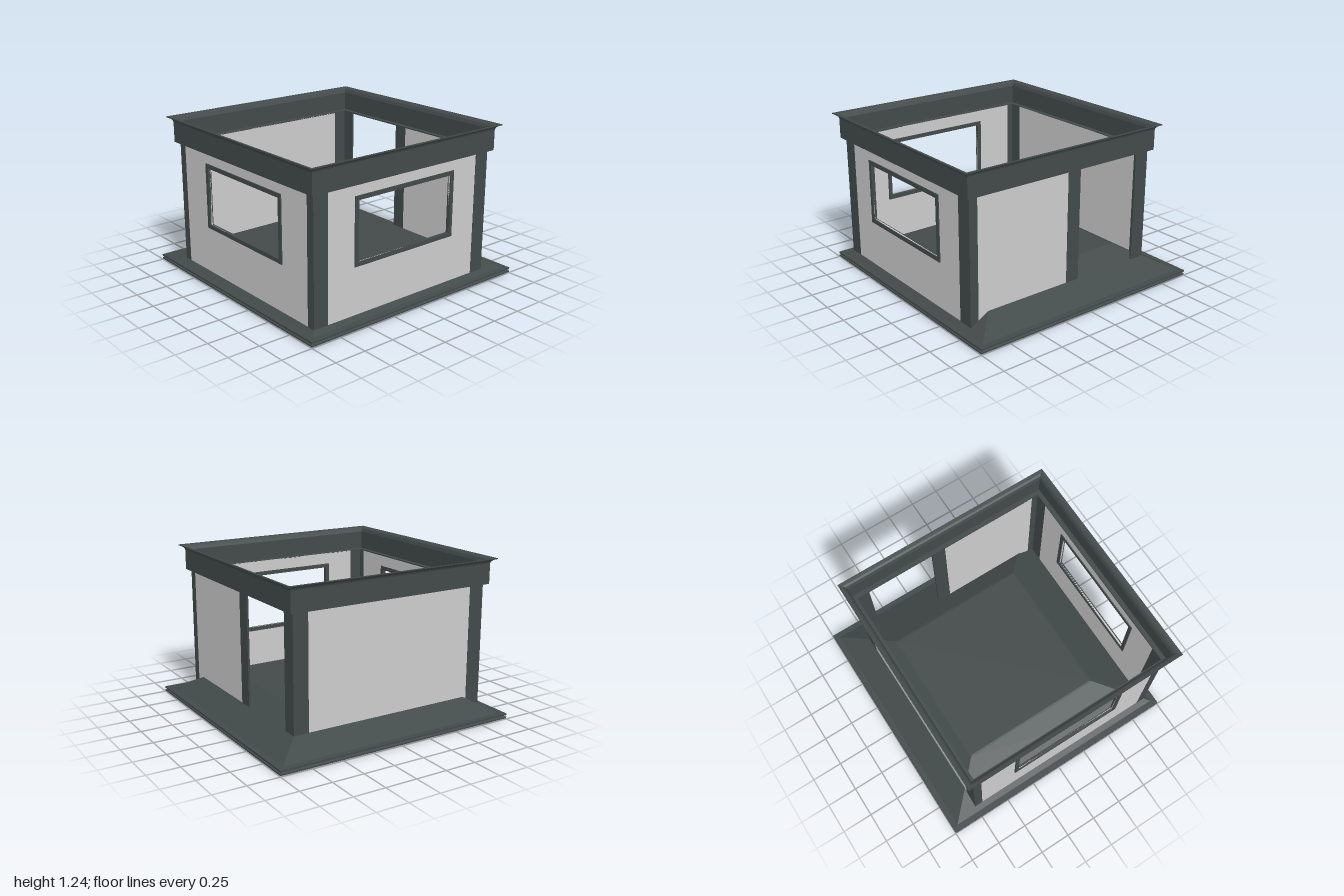
import * as THREE from 'three';

const dark = new THREE.MeshStandardMaterial({ color: 0x424a49, side: THREE.DoubleSide });
dark.name = 'dark slate trim';
const light = new THREE.MeshStandardMaterial({ color: 0xcccccc });
light.name = 'light grey wall';

const HALF = 0.835;   // half width of the walled body
const OFFSET = 0.077; // body sits off centre on the base
const THICK = 0.015;
const WALL_TOP = 1.045;

// Square ring or shell swept from a [half width, height] profile
function squareSweep(name, profile) {
  const points = profile.map(([r, y]) => new THREE.Vector2(r * Math.SQRT2, y));
  const geometry = new THREE.LatheGeometry(points, 4, Math.PI / 4).toNonIndexed();
  geometry.computeVertexNormals();
  const mesh = new THREE.Mesh(geometry, dark);
  mesh.name = name;
  return mesh;
}

function rectangle(Type, [x0, x1, y0, y1]) {
  const path = new Type();
  path.moveTo(x0, y0);
  path.lineTo(x1, y0);
  path.lineTo(x1, y1);
  path.lineTo(x0, y1);
  path.closePath();
  return path;
}

// Upright plate with an optional rectangular opening
function plate(name, rect, hole, z, depth, material) {
  const shape = rectangle(THREE.Shape, rect);
  if (hole) shape.holes.push(rectangle(THREE.Path, hole));
  const mesh = new THREE.Mesh(new THREE.ExtrudeGeometry(shape, { depth, bevelEnabled: false }), material);
  mesh.position.z = z;
  mesh.name = name;
  return mesh;
}

// One side of the body: posts, wall panel and optional framed window
function side(name, angle, posts, wall, windowStart) {
  const group = new THREE.Group();
  group.name = name;
  group.rotation.y = angle;
  for (const [a, b] of posts)
    group.add(plate('post', [a, b, 0, WALL_TOP], null, HALF - THICK, THICK, dark));

  let hole = null;
  if (windowStart !== undefined) {
    const a = windowStart, b = windowStart + 0.95;
    hole = [a + 0.032, b - 0.032, 0.469, 0.919];
    group.add(plate('windowFrame', [a, b, 0.437, 0.951], hole, HALF - 0.022, 0.029, dark));
  }
  group.add(plate('wallPanel', [...wall, 0, WALL_TOP], hole, HALF - THICK, THICK - 0.002, light));
  return group;
}

export function createModel() {
  const model = new THREE.Group();
  model.name = 'kiosk';

  // Hollow hipped base with a grooved rim
  model.add(squareSweep('hippedBase', [
    [0.92, 0.06], [0.92, 0.006], [1, 0.006], [1, 0.018], [0.985, 0.025], [1, 0.031], [1, 0.045],
    [0.955, 0.046], [0.59, 0.242], [0.575, 0.246], [0, 0.246],
  ]));

  const body = new THREE.Group();
  body.name = 'body';
  body.position.set(OFFSET, 0, OFFSET);
  model.add(body);

  // Four walls; the back one leaves a doorway
  const inner = HALF - THICK;
  const narrow = [[-HALF, -0.767], [0.767, HALF]];
  const wide = [[-inner, -0.713], [0.71, inner]];
  body.add(side('frontWall', 0, narrow, [-0.767, 0.767], -0.467));
  body.add(side('leftWall', Math.PI / 2, wide, [-0.713, 0.71], -0.478));
  body.add(side('backWall', Math.PI, [[-HALF, -0.767], [0.04, 0.155], [0.715, HALF]], [-0.767, 0.04]));
  body.add(side('rightWall', -Math.PI / 2, wide, [-0.713, 0.71]));

  // Open parapet with a flared cornice
  body.add(squareSweep('parapet', [
    [0.82, 1.04], [0.868, 1.04], [0.868, 1.2], [0.873, 1.213], [0.885, 1.226], [0.907, 1.234], [0.907, 1.241],
    [0.88, 1.236], [0.866, 1.225], [0.856, 1.2], [0.856, 1.05], [0.82, 1.05], [0.82, 1.04],
  ]));

  return model;
}
